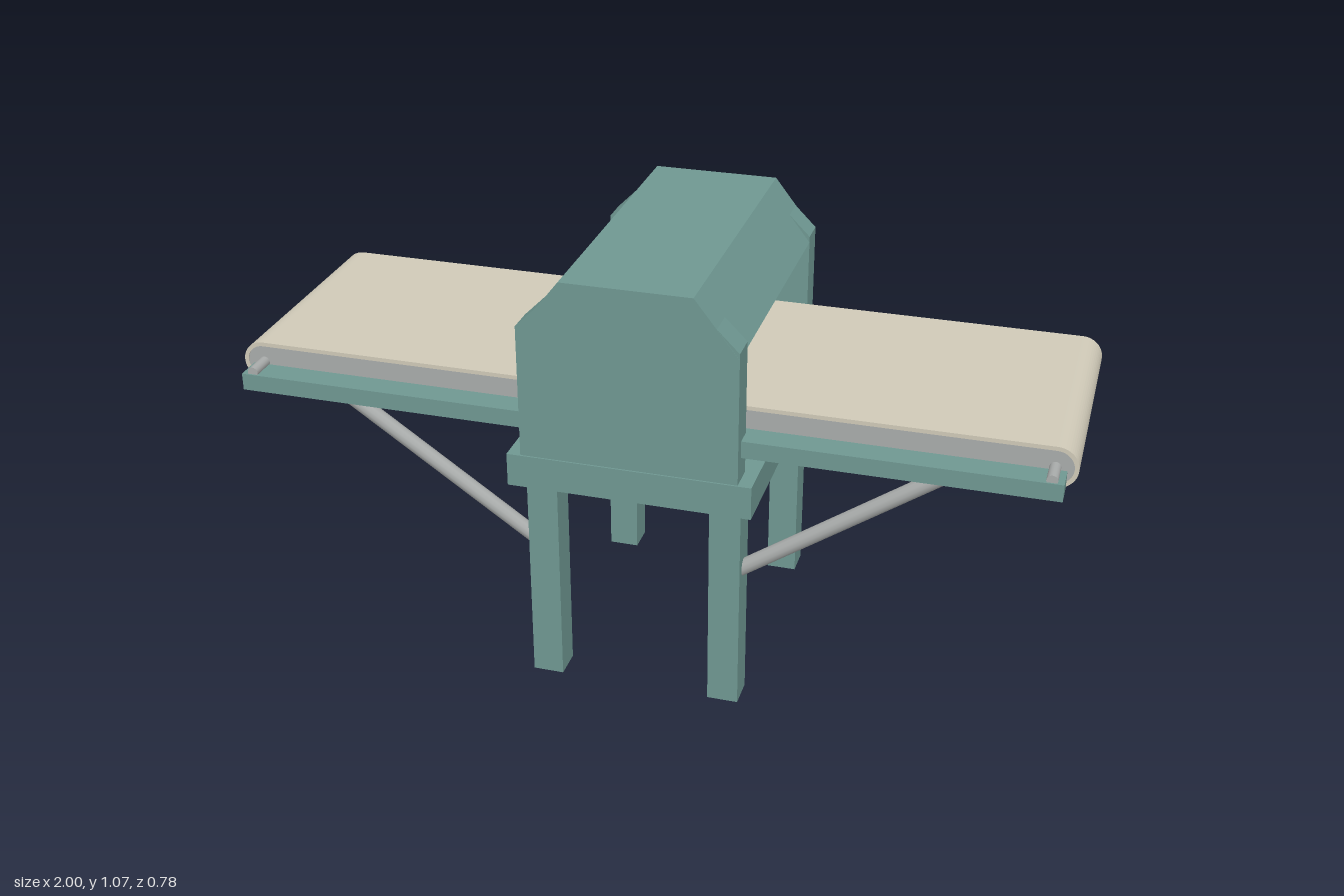
import * as THREE from 'three';

const paint = new THREE.MeshStandardMaterial({ color: 0x6f9892 });
paint.name = 'green paint';
const belt = new THREE.MeshStandardMaterial({ color: 0xd0cab8 });
belt.name = 'cream belt';
const steel = new THREE.MeshStandardMaterial({ color: 0xa9acab });
steel.name = 'grey steel';

export function createModel() {
  const model = new THREE.Group();
  model.name = 'rollerTable';

  const add = (name, geometry, material, x = 0, y = 0, z = 0) => {
    const mesh = new THREE.Mesh(geometry, material);
    mesh.name = name;
    mesh.position.set(x, y, z);
    model.add(mesh);
    return mesh;
  };
  const box = (name, material, x0, x1, y0, y1, z0, z1) =>
    add(name, new THREE.BoxGeometry(x1 - x0, y1 - y0, z1 - z0), material,
      (x0 + x1) / 2, (y0 + y1) / 2, (z0 + z1) / 2);
  // Extrudes an x-y outline from z0 to z1
  const slab = (name, shape, material, z0, z1) =>
    add(name, new THREE.ExtrudeGeometry(shape, { depth: z1 - z0, bevelEnabled: false, curveSegments: 14 }),
      material, 0, 0, z0);
  const polygon = (points) => new THREE.Shape(points.map(([x, y]) => new THREE.Vector2(x, y)));
  // Round bar along z
  const bar = (name, radius, length, x, y, segments) => {
    const mesh = add(name, new THREE.CylinderGeometry(radius, radius, length, segments), steel, x, y, 0);
    mesh.rotation.x = Math.PI / 2;
  };
  // Round bar between two points
  const rod = (name, a, b, radius) => {
    const mesh = add(name, new THREE.CylinderGeometry(radius, radius, a.distanceTo(b), 12), steel);
    mesh.position.copy(a).lerp(b, 0.5);
    mesh.quaternion.setFromUnitVectors(new THREE.Vector3(0, 1, 0), b.clone().sub(a).normalize());
  };
  // Outline with half-round ends
  const stadium = (x0, x1, y, r, Type) => {
    const path = new Type();
    path.moveTo(x0, y - r);
    path.lineTo(x1, y - r);
    path.absarc(x1, y, r, -Math.PI / 2, Math.PI / 2, false);
    path.lineTo(x0, y + r);
    path.absarc(x0, y, r, Math.PI / 2, Math.PI * 1.5, false);
    return path;
  };

  // Base slab and roller housing
  box('base', paint, -0.293, 0.293, 0.54, 0.622, -0.388, 0.388);
  const sideOutline = polygon([[-0.26, 0.62], [0.26, 0.62], [0.26, 0.95], [0.205, 1.005],
    [0.15, 1.06], [-0.15, 1.06], [-0.205, 1.005], [-0.26, 0.95]]);
  slab('leftSidePlate', sideOutline, paint, 0.316, 0.384);
  slab('rightSidePlate', sideOutline, paint, -0.384, -0.316);
  slab('cover', polygon([[-0.26, 0.935], [0.26, 0.935], [0.155, 1.07], [-0.155, 1.07]]),
    paint, -0.385, 0.385);

  // Pressing rollers
  bar('upperRoller', 0.057, 0.64, 0, 0.872, 32);
  bar('lowerRoller', 0.057, 0.64, 0, 0.71, 32);

  for (const sx of [-1, 1]) {
    // Conveyor: belt loop around a steel bed
    const x0 = Math.min(sx * 0.11, sx * 0.949);
    const x1 = Math.max(sx * 0.11, sx * 0.949);
    const loop = stadium(x0, x1, 0.727, 0.051, THREE.Shape);
    loop.holes.push(stadium(x0, x1, 0.727, 0.041, THREE.Path));
    slab('conveyorBelt', loop, belt, -0.293, 0.293);
    slab('conveyorBed', stadium(x0, x1, 0.727, 0.041, THREE.Shape), steel, -0.291, 0.291);
    bar('conveyorAxle', 0.013, 0.71, sx * 0.948, 0.727, 16);

    for (const sz of [-1, 1]) {
      const leg = box('leg', paint, -0.0375, 0.0375, 0, 0.545, -0.0375, 0.0375);
      leg.position.x = sx * 0.2225;
      leg.position.z = sz * 0.3125;

      const rail = box('conveyorRail', paint, 0, 0.775, 0.68, 0.722, -0.0325, 0.0325);
      rail.position.x = sx * 0.5875;
      rail.position.z = sz * 0.3265;

      // Diagonal support from leg to rail
      rod('strut', new THREE.Vector3(sx * 0.245, 0.354, sz * 0.312),
        new THREE.Vector3(sx * 0.721, 0.69, sz * 0.323), 0.019);
    }
  }
  return model;
}
